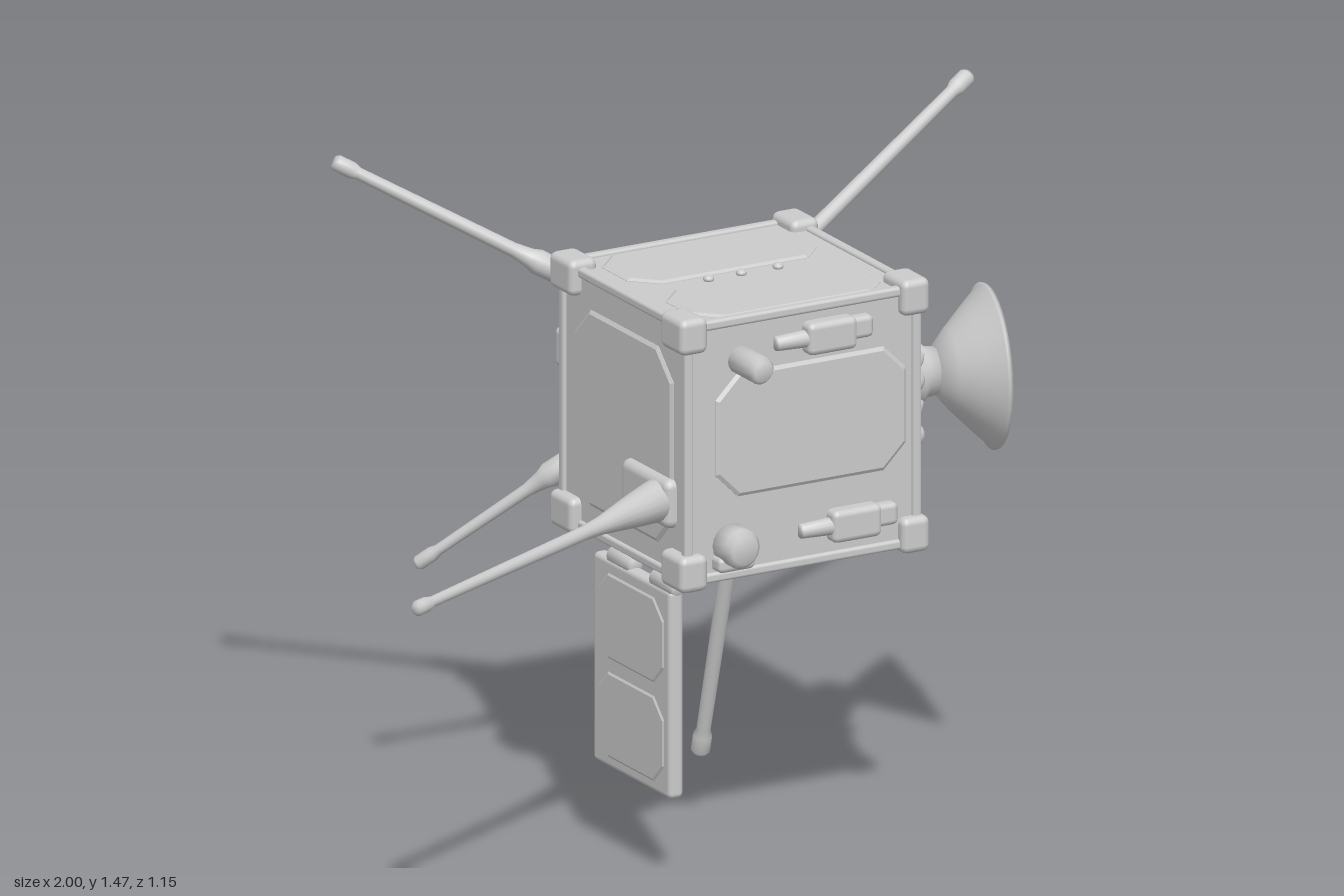
import * as THREE from 'three';
import { RoundedBoxGeometry } from 'three/addons/geometries/RoundedBoxGeometry.js';

const mat = new THREE.MeshStandardMaterial({ color: 0xcccccc });
const matTwoSided = new THREE.MeshStandardMaterial({ color: 0xcccccc, side: THREE.DoubleSide });
const V = (x, y, z) => new THREE.Vector3(x, y, z);
const UP = V(0, 1, 0);

export function createModel() {
  const root = new THREE.Group();

  function add(name, geo, pos, material = mat) {
    const m = new THREE.Mesh(geo, material);
    m.name = name;
    if (pos) m.position.copy(pos);
    root.add(m);
    return m;
  }

  // Rounded box given by its min and max on each axis
  function box(name, x0, x1, y0, y1, z0, z1, r = 0.012) {
    const w = x1 - x0, h = y1 - y0, d = z1 - z0;
    const geo = new RoundedBoxGeometry(w, h, d, 2, Math.min(r, w / 2.1, h / 2.1, d / 2.1));
    return add(name, geo, V((x0 + x1) / 2, (y0 + y1) / 2, (z0 + z1) / 2));
  }

  // Lathe of [radius, distance] pairs, turned to run from a toward b
  function turned(name, a, b, pts, seg = 16, material = mat) {
    const geo = new THREE.LatheGeometry(pts.map(p => new THREE.Vector2(p[0], p[1])), seg);
    const m = add(name, geo, a, material);
    m.quaternion.setFromUnitVectors(UP, b.clone().sub(a).normalize());
    return m;
  }

  // Solid rod with a softened end
  function rod(name, a, b, r, r2 = r) {
    const L = a.distanceTo(b), e = Math.min(r2 * 0.4, L * 0.2);
    return turned(name, a, b, [[0, 0], [r, 0], [r2, L - e], [r2 * 0.7, L], [0, L]]);
  }

  // Raised panel with cut corners, facing along the given normal
  function chamferPlate(name, w, h, cut, pos, normal) {
    const s = new THREE.Shape(), a = w / 2, b = h / 2;
    [[-a + cut, -b], [a - cut, -b], [a, -b + cut], [a, b - cut], [a - cut, b], [-a + cut, b], [-a, b - cut], [-a, -b + cut]]
      .forEach((p, i) => (i ? s.lineTo(p[0], p[1]) : s.moveTo(p[0], p[1])));
    s.closePath();
    const geo = new THREE.ExtrudeGeometry(s, { depth: 0.004, bevelSize: 0.008, bevelThickness: 0.005, bevelSegments: 1 });
    const m = add(name, geo, pos);
    m.lookAt(pos.clone().add(normal));
    return m;
  }

  // Main body
  const X0 = -0.16, X1 = 0.42, Y0 = 0.675, Y1 = 1.26, Z0 = -0.29, Z1 = 0.25;
  box('body', X0 + 0.008, X1 - 0.008, Y0 + 0.008, Y1 - 0.008, Z0 + 0.008, Z1 - 0.008, 0.01);

  // Edge rails on all twelve edges
  const t = 0.022;
  for (const y of [Y0, Y1 - t]) {
    for (const z of [Z0, Z1 - t]) box('edgeRail', X0, X1, y, y + t, z, z + t, 0.007);
    for (const x of [X0, X1 - t]) box('edgeRail', x, x + t, y, y + t, Z0, Z1, 0.007);
  }
  for (const x of [X0, X1 - t]) for (const z of [Z0, Z1 - t]) box('edgeRail', x, x + t, Y0, Y1, z, z + t, 0.007);

  // Corner blocks
  for (const x of [-0.178, 0.365]) for (const y of [0.665, 1.195]) for (const z of [-0.302, 0.168])
    box('cornerBlock', x, x + 0.068, y, y + 0.08, z, z + 0.098, 0.016);

  // Face panels
  chamferPlate('frontPanel', 0.45, 0.26, 0.05, V(0.15, 0.995, Z1 - 0.01), V(0, 0, 1));
  for (const z of [-0.15, 0.12]) {
    chamferPlate('topPanel', 0.45, 0.2, 0.05, V(0.13, Y1 - 0.011, z), UP);
    chamferPlate('bottomPanel', 0.45, 0.2, 0.05, V(0.13, Y0 + 0.011, z), V(0, -1, 0));
  }
  chamferPlate('leftPanel', 0.4, 0.42, 0.06, V(X1 - 0.011, 0.96, -0.01), V(1, 0, 0));
  chamferPlate('rightPanel', 0.4, 0.42, 0.06, V(X0 + 0.011, 0.96, -0.02), V(-1, 0, 0));
  chamferPlate('backPanel', 0.44, 0.16, 0.04, V(0.13, 0.93, Z0 + 0.011), V(0, 0, -1));
  for (const y of [0.87, 0.92, 1.05, 1.1, 1.15])
    box('sideStud', X1 - 0.02, X1 + 0.012, y - 0.013, y + 0.013, -0.22, -0.19, 0.008);
  for (const x of [0.05, 0.13, 0.22]) {
    const stud = add('topStud', new THREE.SphereGeometry(0.012, 12, 8), V(x, Y1 - 0.004, -0.015));
    stud.scale.y = 0.7;
  }

  // Front sensors and latches
  rod('upperSensor', V(-0.02, 1.16, 0.23), V(-0.02, 1.16, 0.34), 0.031);
  rod('lowerSensor', V(-0.045, 0.755, 0.23), V(-0.045, 0.755, 0.305), 0.044);
  box('sensorFoot', -0.09, 0, 0.7, 0.735, 0.23, 0.275);
  for (const [x, y] of [[0.06, 1.185], [0.12, 0.757]]) {
    rod('latchPin', V(x, y, 0.252), V(x + 0.1, y, 0.252), 0.016, 0.02);
    box('latchBody', x + 0.07, x + 0.19, y - 0.036, y + 0.036, 0.23, 0.276, 0.014);
    box('latchTab', x + 0.17, x + 0.235, y - 0.02, y + 0.03, 0.23, 0.265, 0.012);
  }

  // Back grab bar and its clamps
  rod('backBar', V(0.41, 1.055, -0.315), V(-0.13, 1.055, -0.315), 0.03);
  for (const x of [0.36, -0.11]) box('barClamp', x - 0.03, x + 0.03, 1.0, 1.09, -0.345, -0.27, 0.015);
  for (const [x, y] of [[0.27, 1.18], [0.02, 1.18], [0.27, 0.745], [0.02, 0.825]])
    box('backBox', x - 0.06, x + 0.06, y - 0.03, y + 0.03, -0.325, -0.27, 0.014);

  // Whip antennas on the back: pivot, socket, tapering rod, thicker tip
  const whips = [
    ['upperLeftAntenna', V(0.34, 1.09, -0.335), V(0.99, 1.408, -0.54), 0.017],
    ['upperRightAntenna', V(-0.1, 1.19, -0.34), V(-0.55, 1.46, -0.565), 0.016],
    ['lowerLeftAntenna', V(0.32, 0.73, -0.33), V(0.332, 0.004, -0.54), 0.018],
    ['lowerRightAntenna', V(-0.08, 0.795, -0.335), V(-0.36, 0.535, -0.545), 0.014],
  ];
  for (const [name, a, b, r] of whips) {
    const L = a.distanceTo(b);
    box(name + 'Mount', a.x - 0.035, a.x + 0.035, a.y - 0.04, a.y + 0.04, -0.325, -0.27, 0.015);
    add(name + 'Pivot', new THREE.SphereGeometry(0.034, 16, 12), a);
    turned(name, a, b, [[0, 0], [0.026, 0.01], [0.028, 0.08], [0.021, 0.1], [r, 0.14], [r * 0.85, L - 0.06],
      [r * 1.15, L - 0.045], [r * 1.15, L - 0.008], [r * 0.8, L], [0, L]]);
  }

  // Long boom on the right side
  const boomA = V(-0.13, 0.845, 0.13), boomB = V(-1, 0.855, 0.562), bl = boomA.distanceTo(boomB);
  turned('boomAntenna', boomA, boomB, [[0, 0], [0.05, 0], [0.045, 0.06], [0.036, 0.14], [0.02, 0.26], [0.016, 0.32],
    [0.012, bl - 0.06], [0.017, bl - 0.04], [0.017, bl - 0.008], [0.01, bl], [0, bl]]);
  box('boomMount', -0.178, -0.13, 0.79, 0.9, 0.0, 0.2, 0.02);

  // Hanging panel with hinges
  box('hangingPanel', -0.171, -0.135, 0.19, 0.655, -0.125, 0.203, 0.012);
  for (const y of [0.31, 0.53]) {
    chamferPlate('hangingPanelOuter', 0.27, 0.18, 0.04, V(-0.165, y, 0.04), V(-1, 0, 0));
    chamferPlate('hangingPanelInner', 0.27, 0.18, 0.04, V(-0.141, y, 0.04), V(1, 0, 0));
  }
  for (const z of [-0.02, 0.16]) {
    rod('hinge', V(-0.15, 0.66, z - 0.045), V(-0.15, 0.66, z + 0.045), 0.021);
    box('hingeLeaf', -0.165, -0.125, 0.6, 0.68, z - 0.025, z + 0.025);
  }

  // Dish on its bracket
  const axis = V(0.97, 0, 0.243).normalize();
  const base = V(0.562, 0.985, 0.05);
  const along = d => base.clone().addScaledVector(axis, d);
  box('dishBracket', 0.4, 0.432, 0.87, 1.05, 0.02, 0.2, 0.014);
  for (const z of [0.03, 0.18]) for (const y of [0.9, 1.02]) {
    const hub = along(-0.05).add(V(0, (y - 0.96) * 0.8, (z - 0.1) * 0.4));
    rod('dishStrut', V(0.42, y, z), hub, 0.016);
    add('strutJoint', new THREE.SphereGeometry(0.026, 14, 10), V(0.437, y, z));
  }
  turned('dishHub', along(-0.08), along(0.1), [[0, 0], [0.045, 0], [0.07, 0.02], [0.072, 0.045], [0.055, 0.06], [0.05, 0.1], [0, 0.1]], 24);
  rod('hubPin', V(0.505, 0.905, 0.036), V(0.505, 1.075, 0.036), 0.026);
  turned('dish', base, along(1), [[0, 0], [0.055, 0.004], [0.09, 0.034], [0.135, 0.078], [0.172, 0.116], [0.179, 0.119],
    [0.177, 0.126], [0.168, 0.123], [0.13, 0.085], [0.085, 0.044], [0.05, 0.018], [0, 0.014]], 40, matTwoSided);
  turned('dishFeed', base, along(1), [[0, 0], [0.04, 0.01], [0.026, 0.03], [0.02, 0.075], [0.021, 0.085], [0.032, 0.09],
    [0.033, 0.125], [0.024, 0.138], [0, 0.14]], 20);

  return root;
}
